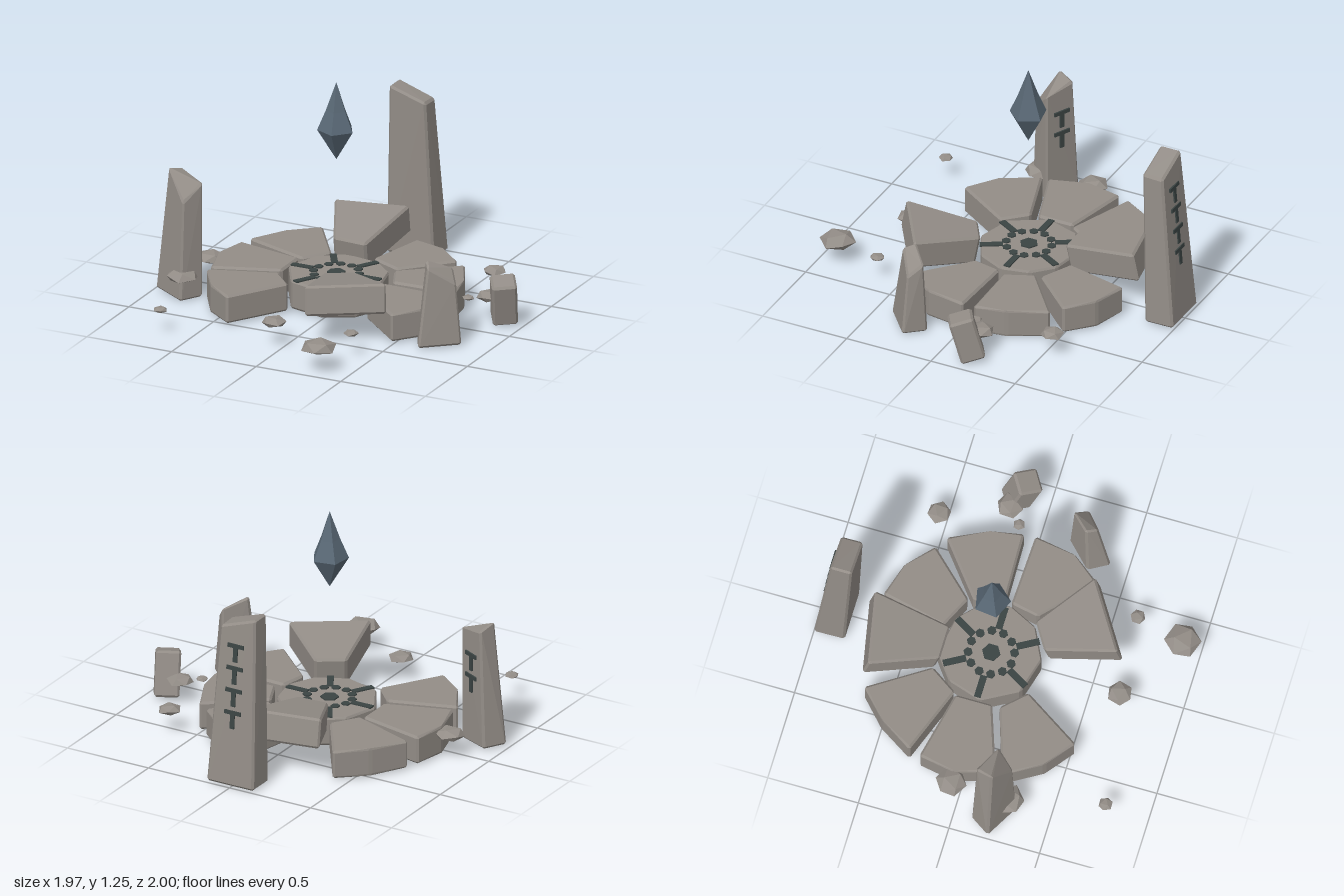
import * as THREE from 'three';
import { ConvexGeometry } from 'three/addons/geometries/ConvexGeometry.js';

const V = (x, y, z) => new THREE.Vector3(x, y, z);

export function createModel() {
  const root = new THREE.Group();
  const material = (name, color) => {
    const m = new THREE.MeshStandardMaterial({ color, flatShading: true });
    m.name = name;
    return m;
  };
  const stone = material('stone', 0x938d87);
  const carving = material('carving', 0x3b4443);
  const crystalBlue = material('crystal', 0x596875);

  const add = (name, geo, mat, parent = root) => {
    const mesh = new THREE.Mesh(geo, mat);
    mesh.name = name;
    parent.add(mesh);
    return mesh;
  };

  // Chamfered convex prism: each corner becomes one point inset in each adjoining face
  const prism = (bottom, top, b = 0.012) => {
    const n = bottom.length, pts = [];
    [[bottom, top], [top, bottom]].forEach(([ring, other]) => ring.forEach((p, i) => {
      const toward = (q) => q.clone().sub(p).normalize().multiplyScalar(b);
      const e = [toward(ring[(i + 1) % n]), toward(ring[(i + n - 1) % n]), toward(other[i])];
      for (let k = 0; k < 3; k++) pts.push(p.clone().add(e[k]).add(e[(k + 1) % 3]));
    }));
    return new ConvexGeometry(pts);
  };

  // Paving slab from an outline of [x, z]; slope raises its outer end
  const cx = -0.045, cz = -0.05;
  const slab = (name, outline, y0, height, slope = 0) => {
    const mx = outline.reduce((s, p) => s + p[0], 0) / outline.length - cx;
    const mz = outline.reduce((s, p) => s + p[1], 0) / outline.length - cz;
    const len = Math.hypot(mx, mz) || 1, dx = mx / len, dz = mz / len;
    const ring = (h) => outline.map(([x, z]) => {
      const out = (x - cx) * dx + (z - cz) * dz;
      return V(x - dx * slope * h, y0 + h + slope * (out - 0.27), z - dz * slope * h);
    });
    add(name, prism(ring(0), ring(height)), stone);
  };

  // Central disc
  slab('centreDisc', [[-0.12, -0.325], [0.09, -0.285], [0.2, -0.18], [0.235, -0.02], [0.16, 0.135],
    [-0.01, 0.22], [-0.21, 0.165], [-0.32, -0.03], [-0.26, -0.22]], 0.03, 0.16);

  // Ring of flat slabs
  [
    [[0.11, -0.69], [0.30, -0.63], [0.445, -0.50], [0.21, -0.25], [0.03, -0.335]],
    [[0.51, -0.46], [0.61, -0.25], [0.645, -0.07], [0.28, -0.06], [0.21, -0.22]],
    [[0.65, -0.01], [0.61, 0.22], [0.49, 0.38], [0.22, 0.13], [0.25, -0.025]],
    [[-0.69, 0.2], [-0.57, 0.4], [-0.41, 0.525], [-0.205, 0.205], [-0.325, 0.08]],
    [[-0.71, -0.25], [-0.325, -0.165], [-0.325, 0.04], [-0.685, 0.165], [-0.745, -0.05]],
    [[-0.42, -0.64], [-0.21, -0.32], [-0.31, -0.17], [-0.69, -0.31], [-0.57, -0.5]],
  ].forEach((outline) => slab('ringSlab', outline, 0.03, 0.158));

  // Two lifted slabs
  slab('liftedBackSlab', [[-0.355, -0.67], [0.05, -0.75], [0.0, -0.32], [-0.19, -0.32]], 0.12, 0.16, 0.2);
  slab('liftedFrontSlab', [[0.17, 0.16], [0.475, 0.4], [0.105, 0.635], [0.025, 0.25]], 0.125, 0.16, 0.18);

  // Carved pattern on the disc
  const pattern = new THREE.Group();
  pattern.name = 'discCarving';
  pattern.position.set(-0.047, 0.193, -0.048);
  root.add(pattern);
  add('centreHexagon', new THREE.CylinderGeometry(0.05, 0.05, 0.008, 6), carving, pattern);
  for (let i = 0; i < 6; i++) {
    const a = i * Math.PI / 3;
    const bar = add('radialBar', new THREE.BoxGeometry(0.125, 0.008, 0.036), carving, pattern);
    bar.position.set(Math.cos(a) * 0.2, 0, Math.sin(a) * 0.2);
    bar.rotation.y = -a;
  }
  for (let i = 0; i < 12; i++) {
    const a = (i + 0.5) * Math.PI / 6;
    const dot = add('carvedDot', new THREE.CylinderGeometry(0.025, 0.025, 0.008, 6), carving, pattern);
    dot.position.set(Math.cos(a) * 0.123, 0, Math.sin(a) * 0.123);
  }

  // Standing stones: base corners, then top corners in the same order
  add('tallPillar', prism(
    [V(-0.145, 0.03, -1), V(0.145, 0.03, -1), V(0.14, 0.025, -0.83), V(-0.14, 0.025, -0.83)],
    [V(-0.11, 0.985, -0.92), V(0.105, 0.91, -0.92), V(0.105, 0.915, -0.8), V(-0.11, 0.985, -0.8)]), stone);
  add('leftPillar', prism(
    [V(-0.988, 0.035, 0.21), V(-0.79, 0.02, 0.315), V(-0.715, 0.02, 0.19), V(-0.91, 0.03, 0.095)],
    [V(-0.91, 0.735, 0.21), V(-0.785, 0.57, 0.29), V(-0.715, 0.67, 0.19), V(-0.88, 0.7, 0.112)]), stone);
  add('shortPillar', prism(
    [V(0.598, 0.02, 0.29), V(0.66, 0.03, 0.405), V(0.845, 0.03, 0.25), V(0.74, 0.02, 0.15)],
    [V(0.64, 0.49, 0.27), V(0.68, 0.465, 0.33), V(0.805, 0.365, 0.24), V(0.75, 0.435, 0.17)]), stone);

  // Rows of T-shaped marks on the pillars
  const marks = (name, count, position, normal) => {
    const g = new THREE.Group();
    g.name = name;
    g.position.copy(position);
    g.lookAt(position.clone().add(normal));
    for (let i = 0; i < count; i++) {
      const y = ((count - 1) / 2 - i) * 0.125;
      add('markBar', new THREE.BoxGeometry(0.1, 0.022, 0.009), carving, g).position.set(0, y + 0.045, 0.003);
      add('markStem', new THREE.BoxGeometry(0.026, 0.08, 0.009), carving, g).position.set(0, y - 0.005, 0.003);
    }
    root.add(g);
  };
  marks('tallPillarMarks', 4, V(0, 0.585, -0.952), V(0, 0.086, -1));
  marks('leftPillarMarks', 2, V(-0.805, 0.43, 0.1455), V(0.438, 0, -0.899));

  // Toppled block
  const rect = (y) => [[-1, -1], [1, -1], [1, 1], [-1, 1]].map(([x, z]) => V(x * 0.067, y, z * 0.067));
  const block = add('toppledBlock', prism(rect(-0.125), rect(0.125)), stone);
  block.position.set(0.89, 0.158, -0.155);
  block.rotation.set(0.32, 0.55, -0.12);

  // Scattered flat-bottomed rocks: x, z, radius
  [[-0.79, -0.05, 0.085], [-0.8, 0.265, 0.092], [-0.68, 0.77, 0.04], [-0.06, 0.665, 0.07], [0.38, 0.635, 0.042],
    [0.32, 0.9, 0.1], [0.645, -0.54, 0.066], [0.7, -0.115, 0.034], [0.79, -0.19, 0.075]].forEach(([x, z, r], i) => {
    const geo = new THREE.IcosahedronGeometry(r, 0);
    geo.rotateX(0.55);
    const p = geo.attributes.position;
    for (let k = 0; k < p.count; k++) p.setY(k, Math.max(p.getY(k) * 0.45, -0.25 * r));
    geo.computeVertexNormals();
    const rock = add('rock', geo, stone);
    rock.position.set(x, 0.15, z);
    rock.rotation.y = i * 1.3;
  });

  // Floating five-sided crystal
  const profile = [[0, 0.832], [0.102, 1.0], [0.056, 1.11], [0, 1.268]].map(([r, y]) => new THREE.Vector2(r, y));
  const crystal = add('crystal', new THREE.LatheGeometry(profile, 5, 0.2), crystalBlue);
  crystal.position.set(-0.045, 0, -0.045);
  return root;
}
